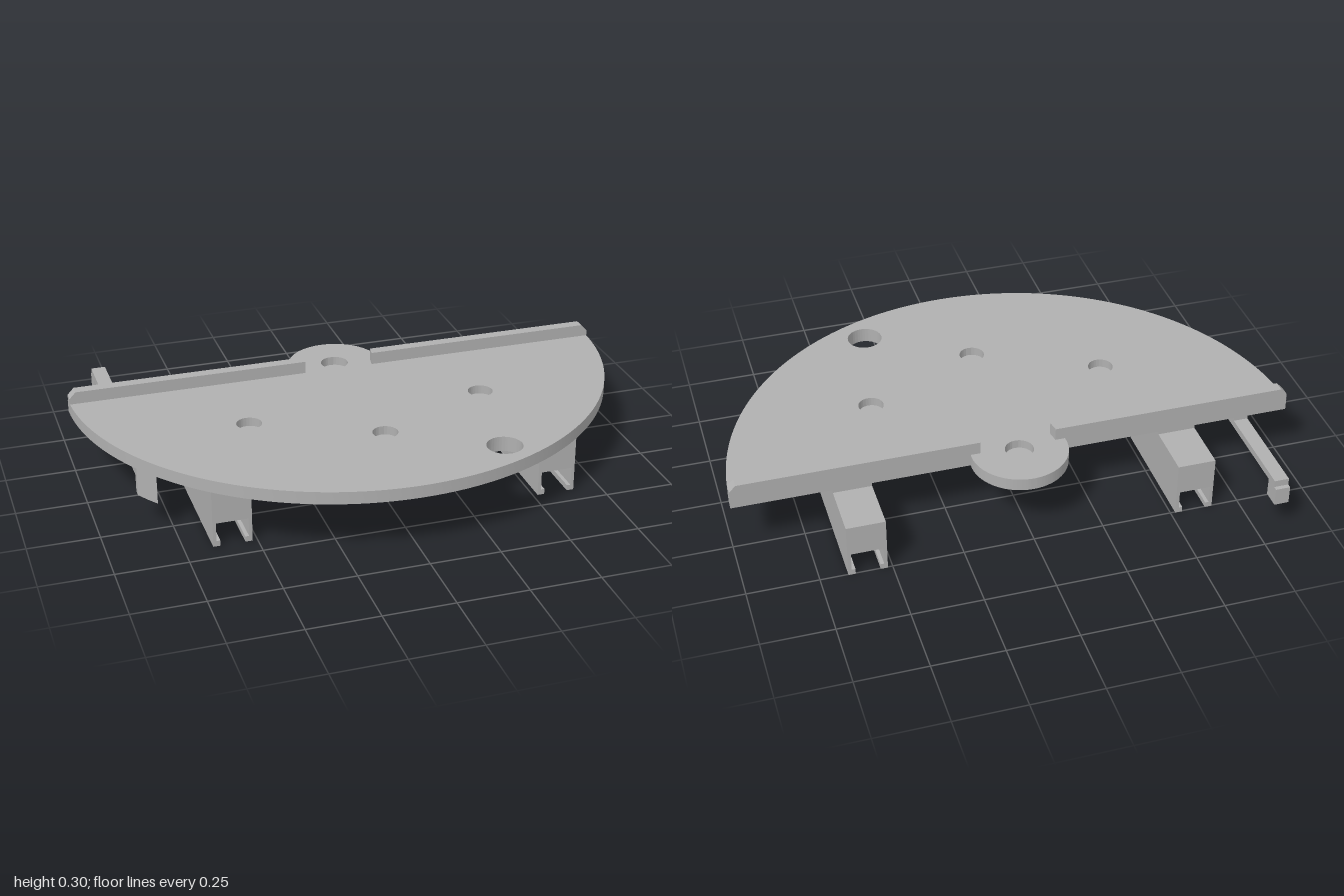
import * as THREE from 'three';
import { toCreasedNormals } from 'three/addons/utils/BufferGeometryUtils.js';

const CZ = -0.32;    // centre of the half disc and of the pivot tab
const BACK = -0.305; // straight back edge

export function createModel() {
  const model = new THREE.Group();
  const grey = new THREE.MeshStandardMaterial({ color: 0xb0b0b0 });
  grey.name = 'grey';

  const add = (name, geo) => {
    const mesh = new THREE.Mesh(geo, grey);
    mesh.name = name;
    model.add(mesh);
    return mesh;
  };
  const box = (name, x0, x1, y0, y1, z0, z1) => add(name,
    new THREE.BoxGeometry(x1 - x0, y1 - y0, z1 - z0)
      .translate((x0 + x1) / 2, (y0 + y1) / 2, (z0 + z1) / 2));
  // Plan outline (x, z) given height between y0 and y1
  const slab = (name, shape, y0, y1) => {
    const geo = new THREE.ExtrudeGeometry(shape, { depth: y1 - y0, bevelEnabled: false, curveSegments: 64 });
    geo.rotateX(Math.PI / 2).translate(0, y1, 0);
    return add(name, toCreasedNormals(geo, 0.5));
  };
  const polygon = (pts) => new THREE.Shape(pts.map(([x, y]) => new THREE.Vector2(x, y)));
  const circle = (x, z, r) => new THREE.Path().absarc(x, z, r, 0, Math.PI * 2, true);

  // Half-disc plate with a round tab; the small holes are blind, the big one goes through
  const outline = () => {
    const a = Math.asin(BACK - CZ), b = Math.asin((BACK - CZ) / 0.17);
    const s = new THREE.Shape();
    s.absarc(0, CZ, 1, a, Math.PI - a, false);
    s.absarc(0, CZ, 0.17, Math.PI - b, Math.PI * 2 + b, false);
    s.holes.push(circle(0.355, 0.497, 0.063));
    return s;
  };
  const top = outline();
  top.holes.push(circle(0, CZ, 0.05));
  for (const [x, z] of [[-0.43, 0.073], [0.43, 0.073], [0, 0.28]]) top.holes.push(circle(x, z, 0.045));
  slab('plateTop', top, 0.225, 0.257);
  slab('plateBottom', outline(), 0.212, 0.225);

  // Thin collar under the through hole
  const collar = new THREE.Shape().absarc(0.355, 0.497, 0.09, 0, Math.PI * 2, false);
  collar.holes.push(circle(0.355, 0.497, 0.063));
  slab('holeCollar', collar, 0.202, 0.212);

  for (const side of [-1, 1]) {
    // Back fence with a bevelled outer end, open around the tab
    const fence = polygon([[0.128, 0.212], [0.999, 0.212], [0.999, 0.278], [0.976, 0.302], [0.128, 0.302]]);
    const geo = new THREE.ExtrudeGeometry(fence, { depth: 0.04, bevelEnabled: false });
    const p = geo.attributes.position;
    for (let i = 0; i < p.count; i++) { // inner end widens slightly to the back
      if (p.getX(i) < 0.2 && p.getZ(i) < 0.01) p.setX(i, 0.135);
    }
    geo.computeVertexNormals();
    if (side < 0) geo.rotateY(Math.PI).translate(0, 0, BACK + 0.04);
    else geo.translate(0, 0, BACK);
    if (side < 0) { // keep the wide inner end at the back
      for (let i = 0; i < p.count; i++) {
        if (p.getX(i) > -0.2) p.setX(i, p.getZ(i) < BACK + 0.01 ? -0.135 : -0.128);
      }
      geo.computeVertexNormals();
    }
    add(side < 0 ? 'rightFence' : 'leftFence', geo);

    // Slotted rail: solid top, thin walls and inward lips
    const half = [[0.068, 0.2], [0.068, 0], [0.043, 0], [0.043, 0.02], [0.056, 0.02], [0.056, 0.087]];
    const mirror = half.map(([x, y]) => [-x, y]).reverse();
    const rail = new THREE.ExtrudeGeometry(polygon([...half, ...mirror]), { depth: 0.93, bevelEnabled: false });
    add(side < 0 ? 'rightRail' : 'leftRail', rail.translate(side * 0.585, 0, -0.503));
    box('railSpacer', side * 0.585 - 0.068, side * 0.585 + 0.068, 0.2, 0.212, BACK, 0.427);
  }

  // Long latch arm, its front end following the rim
  const arm = (z) => polygon([[-0.855, z], [-0.803, z], [-0.803, 0.276], [-0.83, 0.238], [-0.855, 0.198]]);
  slab('latchArm', arm(-0.667), 0.175, 0.2);
  slab('latchArmSpacer', arm(BACK), 0.2, 0.212);
  slab('latchFrontHook', arm(0.17), 0.11, 0.175);
  box('latchRearHook', -0.855, -0.803, 0.11, 0.175, -0.683, -0.62);

  return model;
}
